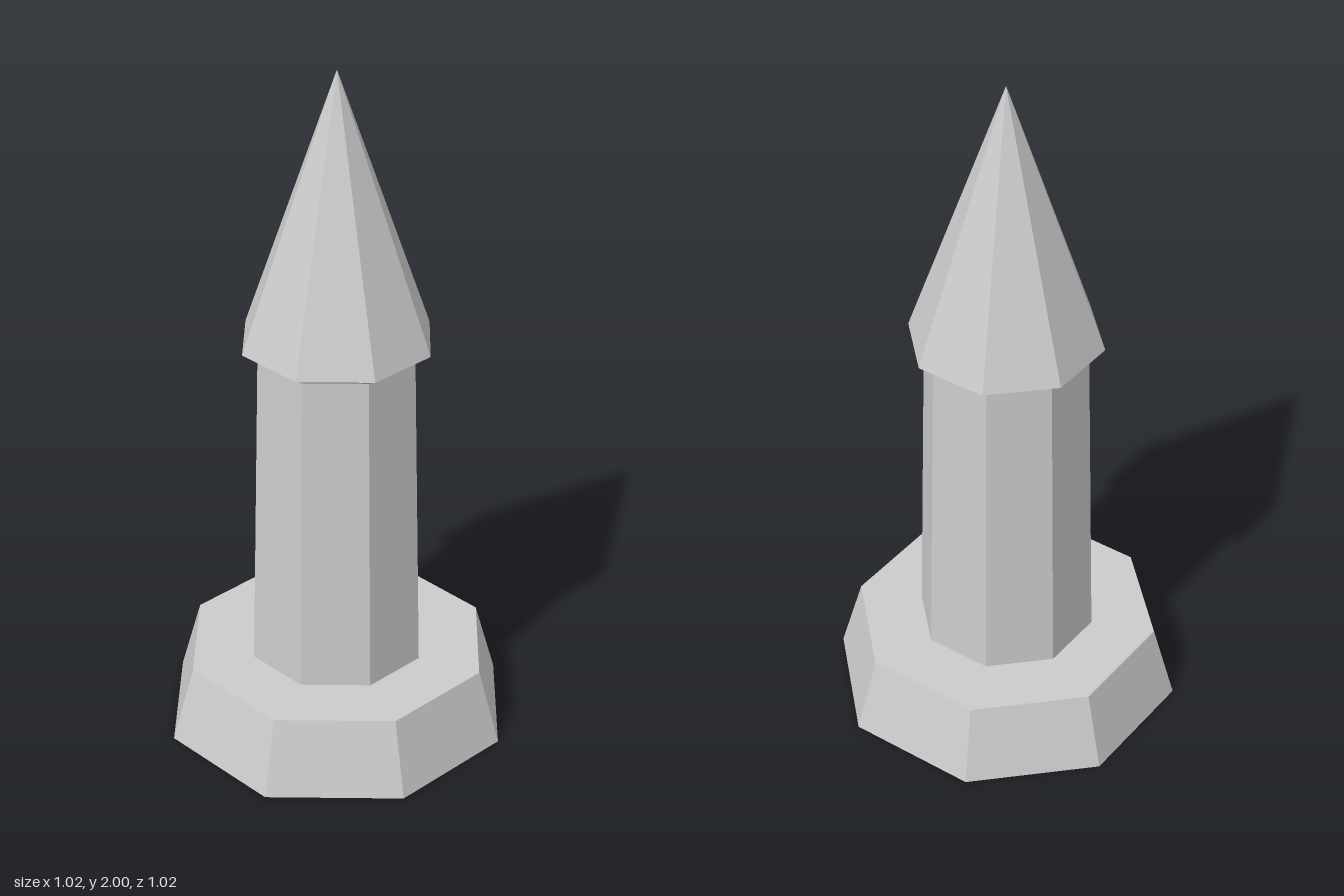
import * as THREE from 'three';

const SIDES = 8;

export function createModel() {
  const group = new THREE.Group();
  const material = new THREE.MeshStandardMaterial({
    color: 0xcccccc, flatShading: true, side: THREE.DoubleSide,
  });

  // Eight-sided ring wall between two heights, without end caps
  const addTier = (name, rBottom, rTop, y0, y1) => {
    const geometry = new THREE.CylinderGeometry(rTop, rBottom, y1 - y0, SIDES, 1, true);
    geometry.translate(0, (y0 + y1) / 2, 0);
    const mesh = new THREE.Mesh(geometry, material);
    mesh.name = name;
    group.add(mesh);
  };

  // Hollow plinth, open underneath
  addTier('plinthWall', 0.509, 0.445, 0, 0.223);

  // Flat top of the plinth, corners aligned with the wall
  const topGeometry = new THREE.CircleGeometry(0.445, SIDES);
  topGeometry.rotateX(-Math.PI / 2).translate(0, 0.223, 0);
  const plinthTop = new THREE.Mesh(topGeometry, material);
  plinthTop.name = 'plinthTop';
  group.add(plinthTop);

  // Tapered shaft, flared eave and pointed roof
  addTier('shaft', 0.258, 0.233, 0.223, 1.187);
  addTier('eave', 0.233, 0.277, 1.187, 1.212);
  addTier('spire', 0.277, 0, 1.212, 2);

  return group;
}
